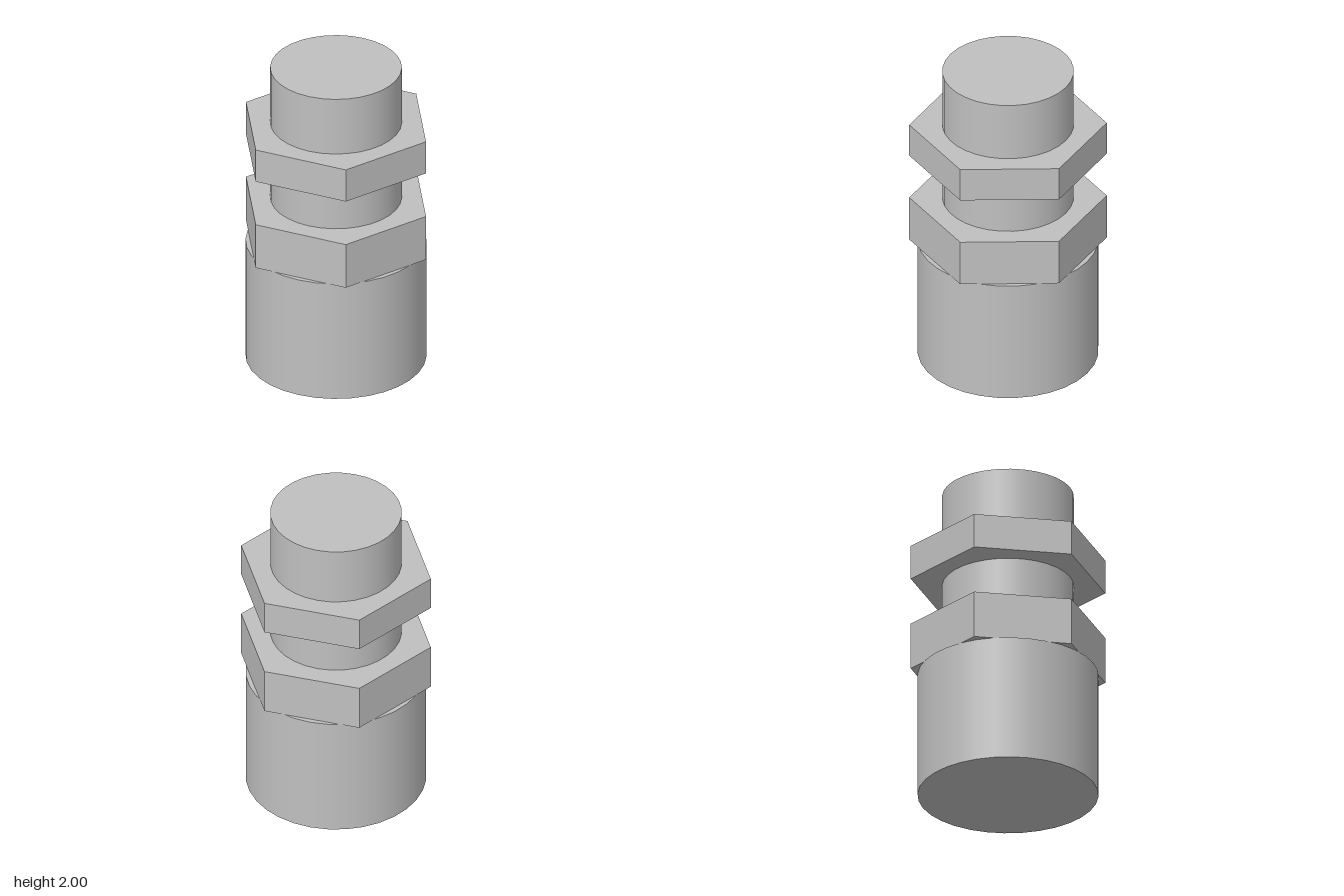
import * as THREE from 'three';

export function createModel() {
  const group = new THREE.Group();
  const steel = new THREE.MeshStandardMaterial({ color: 0xc0c0c0 });
  steel.name = 'steel grey';

  function add(name, geometry, bottom, top) {
    const mesh = new THREE.Mesh(geometry, steel);
    mesh.name = name;
    mesh.position.y = (bottom + top) / 2;
    group.add(mesh);
  }

  // Smooth round section
  function round(name, radius, bottom, top) {
    add(name, new THREE.CylinderGeometry(radius, radius, top - bottom, 32), bottom, top);
  }

  // Hexagonal section with flat sides and corners on the x axis
  function hex(name, radius, bottom, top) {
    const geometry = new THREE.CylinderGeometry(radius, radius, top - bottom, 6, 1, false, Math.PI / 2).toNonIndexed();
    geometry.computeVertexNormals();
    add(name, geometry, bottom, top);
  }

  round('lowerBody', 0.55, 0, 0.8);
  hex('bodyHex', 0.6, 0.8, 1.1);
  round('lowerNeck', 0.4, 1.1, 1.4);
  hex('lockNut', 0.6, 1.4, 1.62);
  round('upperNeck', 0.4, 1.62, 2);

  return group;
}
